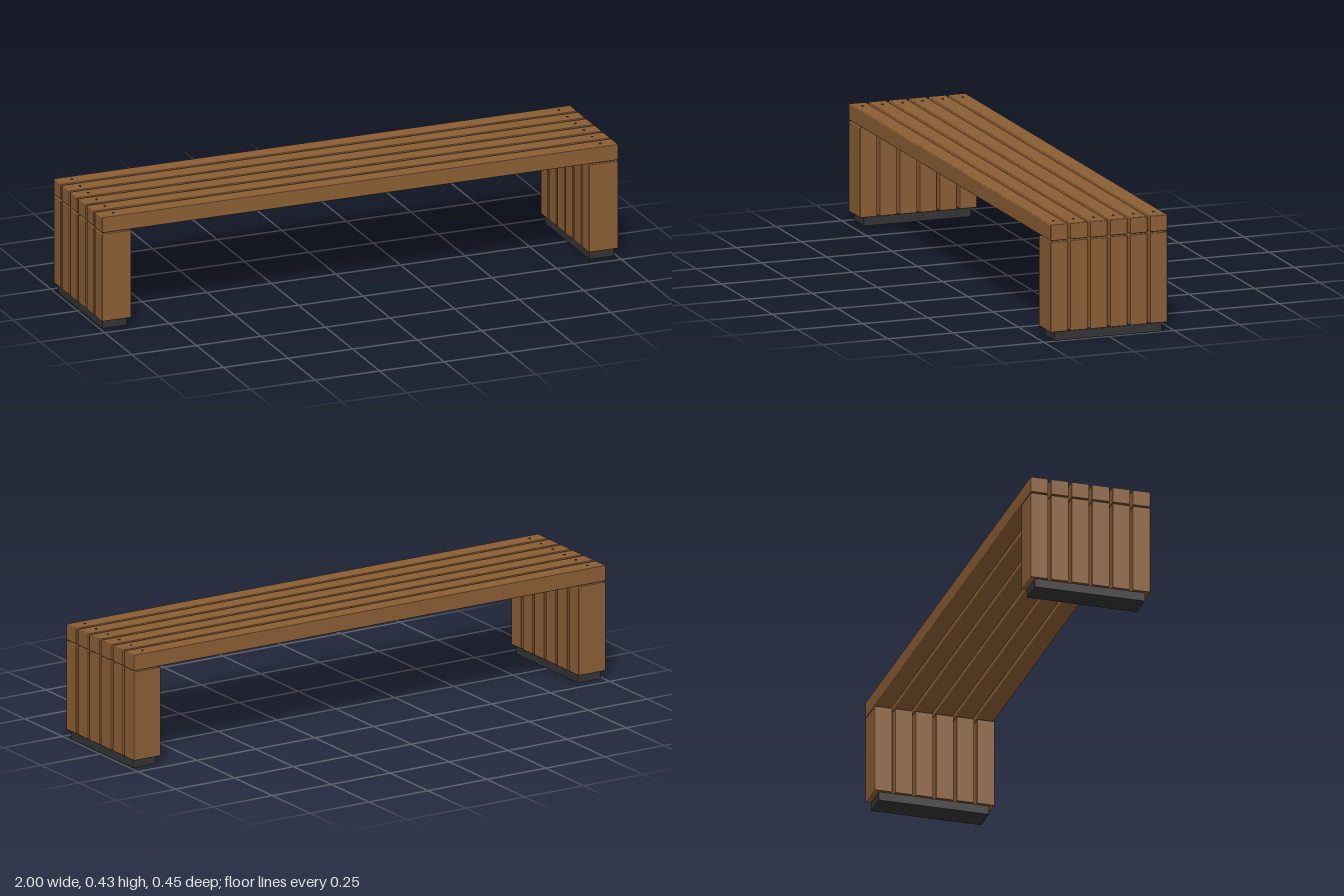
import * as THREE from 'three';
import { RoundedBoxGeometry } from 'three/addons/geometries/RoundedBoxGeometry.js';

const PLANKS = 6;
const PITCH = 0.0764;   // spacing of planks across the depth
const WIDTH = 0.066;    // plank width
const LEG_X = 0.943;    // centre of each leg

export function createModel() {
  const bench = new THREE.Group();
  bench.name = 'bench';

  const material = (name, color) => {
    const m = new THREE.MeshStandardMaterial({ color });
    m.name = name;
    return m;
  };
  const wood = material('brown wood', 0x8b5e34);
  const rubber = material('dark base', 0x333333);
  const steel = material('screw metal', 0x3a3a3a);

  const add = (name, geometry, mat, x, y, z) => {
    const mesh = new THREE.Mesh(geometry, mat);
    mesh.name = name;
    mesh.position.set(x, y, z);
    bench.add(mesh);
  };

  const slat = new RoundedBoxGeometry(2, 0.059, WIDTH, 2, 0.003);
  const post = new RoundedBoxGeometry(0.114, 0.332, WIDTH, 2, 0.003);
  const foot = new THREE.BoxGeometry(0.096, 0.031, 0.41);
  const screw = new THREE.CylinderGeometry(0.004, 0.004, 0.004, 16);

  // Seat slats, with a leg plank and a screw under each end
  for (let i = 0; i < PLANKS; i++) {
    const z = (i - (PLANKS - 1) / 2) * PITCH;
    add('seatSlat', slat, wood, 0, 0.3985, z);
    for (const side of [-1, 1]) {
      add('legPlank', post, wood, side * LEG_X, 0.199, z);
      add('screwHead', screw, steel, side * LEG_X, 0.428, z);
    }
  }

  // Base bars joining the planks of each leg
  for (const side of [-1, 1]) add('footBar', foot, rubber, side * LEG_X, 0.0165, 0);
  // Thin pads that bring the base bars to the ground
  const pad = new THREE.BoxGeometry(0.096, 0.002, 0.41);
  for (const side of [-1, 1]) add('footPad', pad, rubber, side * LEG_X, 0.001, 0);

  return bench;
}
